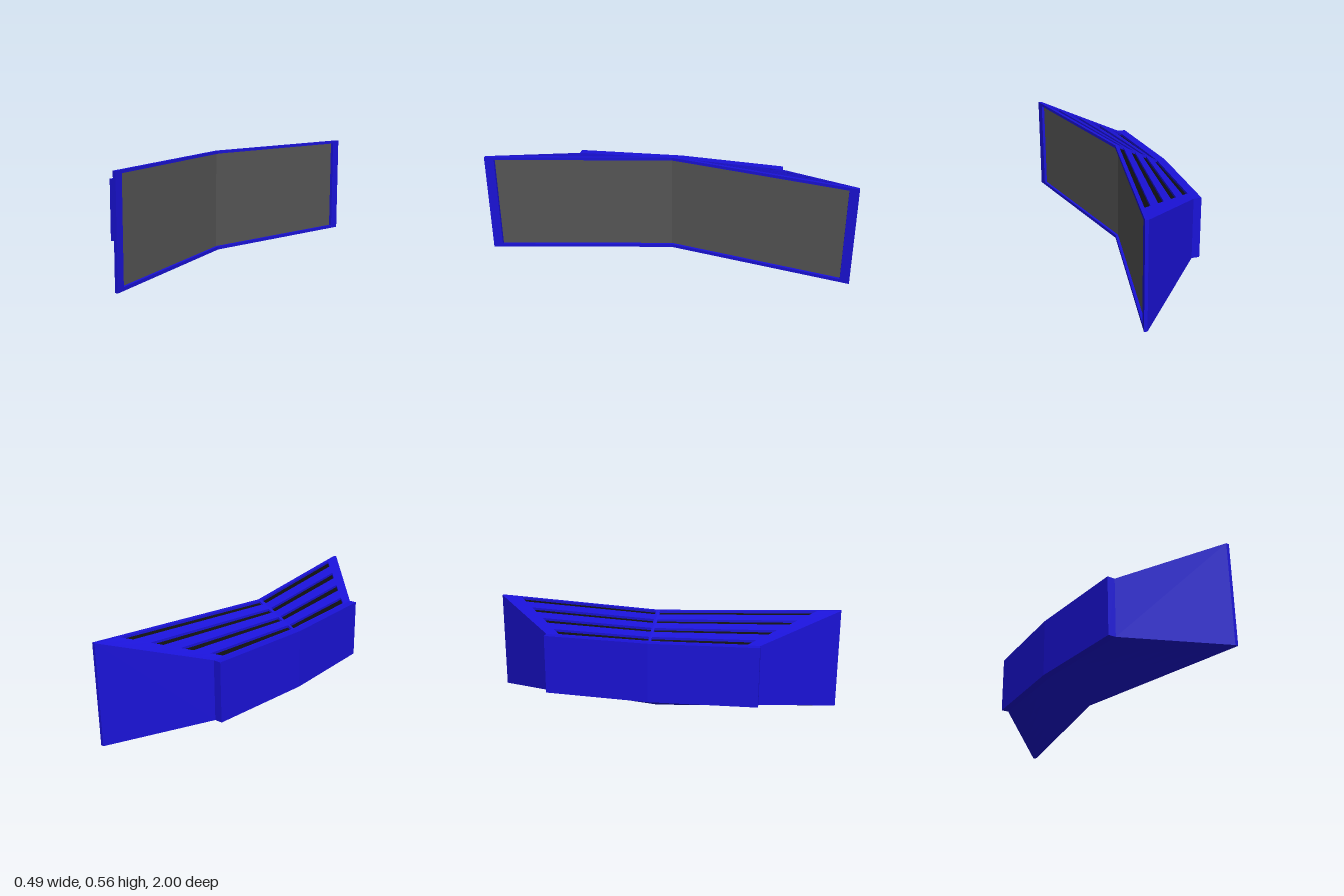
import * as THREE from 'three';

const lerp = (a, b, t) => a + (b - a) * t;
const blue = new THREE.MeshStandardMaterial({ color: 0x1a12d8, flatShading: true });
const grey = new THREE.MeshStandardMaterial({ color: 0x555555, flatShading: true });
const black = new THREE.MeshStandardMaterial({ color: 0x0e0e0e, flatShading: true });

// Plan lines [x, z] from the centre (v = 0) to the end (v = 1) of one wing
const line = (x0, x1, z1) => (v) => [lerp(x0, x1, v), z1 * v];
const REAR = line(-0.245, -0.208, 0.59);
const NECK = line(-0.2, -0.165, 0.59);
const RIM = line(0.033, 0.228, 1);
const FRONT = line(0.05, 0.245, 1);
const PANEL = line(0.035, 0.23, 1);
const H = 0.56, Y0 = 0.116, Y1 = 0.445;      // front height, rear box bottom and top

const at = (l, v, y) => { const [x, z] = l(v); return [x, y, z]; };

// Collects quads (counter-clockwise from outside) and mirrors each to the other wing
function shell(name, material, build) {
  const pos = [];
  const flip = ([x, y, z]) => [x, y, -z];
  const quad = (a, b, c, d) => {
    for (const p of [a, b, c, a, c, d]) pos.push(...p);
    for (const p of [a, c, b, a, d, c]) pos.push(...flip(p));
  };
  build(quad);
  const g = new THREE.BufferGeometry();
  g.setAttribute('position', new THREE.Float32BufferAttribute(pos, 3));
  g.computeVertexNormals();
  const mesh = new THREE.Mesh(g, material);
  mesh.name = name;
  return mesh;
}

// Point on the sloping top: u runs rear to front, v centre to end
function top(u, v, drop = 0) {
  const [ax, az] = NECK(v), [bx, bz] = RIM(v);
  return [lerp(ax, bx, u), lerp(Y1, H, u) - drop, lerp(az, bz, u)];
}
function bottom(u, v) {
  const [x, , z] = top(u, v);
  return [x, lerp(Y0, 0, u), z];
}

const slots = [0, 1, 2, 3].map((i) => [0.02 + 0.283 * i, 0.14 + 0.283 * i]);
const us = [0, ...slots.flat(), 1];
const vs = [0, 0.012, 0.2, 0.4, 0.6, 0.87, 1];
const DEPTH = 0.013;
const isSlot = (i, j) => i % 2 === 1 && j > 0 && j < vs.length - 2;

// Visits every cell of the top grid
function cells(fn) {
  for (let i = 0; i < us.length - 1; i++)
    for (let j = 0; j < vs.length - 1; j++) fn(i, j, us[i], us[i + 1], vs[j], vs[j + 1]);
}

export function createModel() {
  const model = new THREE.Group();
  model.name = 'angledCabinet';

  // Tapering housing with slot openings in the top
  model.add(shell('housing', blue, (quad) => {
    cells((i, j, u0, u1, v0, v1) => {
      quad(bottom(u0, v0), bottom(u1, v0), bottom(u1, v1), bottom(u0, v1));
      if (!isSlot(i, j)) quad(top(u0, v0), top(u0, v1), top(u1, v1), top(u1, v0));
    });
    quad(bottom(0, 1), bottom(1, 1), top(1, 1), top(0, 1));
  }));

  // Side walls of the slots
  model.add(shell('slotWalls', blue, (quad) => {
    const wall = (a, b) => quad(top(...a), top(...b), top(...b, DEPTH), top(...a, DEPTH));
    cells((i, j, u0, u1, v0, v1) => {
      if (!isSlot(i, j)) return;
      wall([u0, v0], [u0, v1]);
      wall([u1, v1], [u1, v0]);
      if (j === 1) wall([u1, v0], [u0, v0]);
      if (j === vs.length - 3) wall([u0, v1], [u1, v1]);
    });
  }));

  // Dark floors of the slots
  model.add(shell('slotFloors', black, (quad) => {
    cells((i, j, u0, u1, v0, v1) => {
      if (isSlot(i, j)) quad(top(u0, v0, DEPTH), top(u0, v1, DEPTH), top(u1, v1, DEPTH), top(u1, v0, DEPTH));
    });
  }));

  // Shallow box across the rear
  model.add(shell('rearBox', blue, (quad) => {
    const R = REAR, N = NECK;
    quad(at(R, 0, Y1), at(R, 1, Y1), at(N, 1, Y1), at(N, 0, Y1));
    quad(at(R, 0, Y0), at(N, 0, Y0), at(N, 1, Y0), at(R, 1, Y0));
    quad(at(R, 0, Y0), at(R, 1, Y0), at(R, 1, Y1), at(R, 0, Y1));
    quad(at(R, 1, Y0), at(N, 1, Y0), at(N, 1, Y1), at(R, 1, Y1));
  }));

  // Front frame: outer edges, lip and the walls of its recess
  const E = 0.95, P0 = 0.018, P1 = 0.544;
  model.add(shell('frontFrame', blue, (quad) => {
    const R = RIM, F = FRONT, P = PANEL;
    quad(at(R, 0, H), at(R, 1, H), at(F, 1, H), at(F, 0, H));
    quad(at(R, 0, 0), at(F, 0, 0), at(F, 1, 0), at(R, 1, 0));
    quad(at(R, 1, 0), at(F, 1, 0), at(F, 1, H), at(R, 1, H));
    const lip = (v0, v1, y0, y1) => quad(at(F, v1, y0), at(F, v0, y0), at(F, v0, y1), at(F, v1, y1));
    lip(0, E, 0, P0);
    lip(0, E, P1, H);
    lip(E, 1, 0, H);
    quad(at(P, 0, P1), at(F, 0, P1), at(F, E, P1), at(P, E, P1));
    quad(at(P, 0, P0), at(P, E, P0), at(F, E, P0), at(F, 0, P0));
    quad(at(F, E, P0), at(P, E, P0), at(P, E, P1), at(F, E, P1));
  }));

  // Recessed grey front panel
  model.add(shell('frontPanel', grey, (quad) => {
    const P = PANEL;
    quad(at(P, E, P0), at(P, 0, P0), at(P, 0, P1), at(P, E, P1));
  }));

  return model;
}
